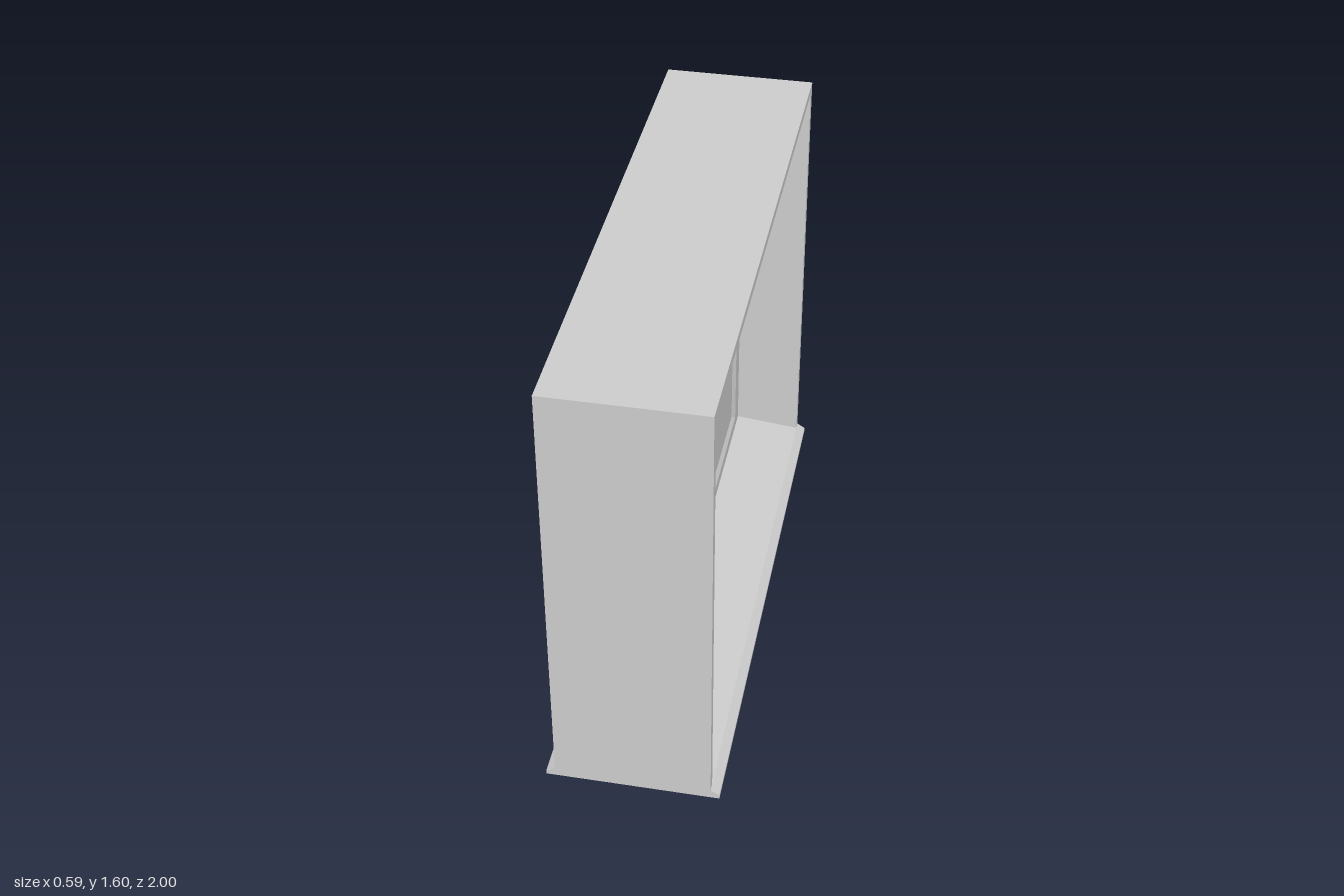
import * as THREE from 'three';

const FACE = 0.022;   // half thickness of the sash frame
const GLASS = 0.01;   // half thickness of the recessed panes
const material = new THREE.MeshStandardMaterial({ color: 0xcccccc, flatShading: true });

function part(name, geometry, x = 0, y = 0, z = 0) {
  const mesh = new THREE.Mesh(geometry, material);
  mesh.name = name;
  mesh.position.set(x, y, z);
  return mesh;
}

function rectPath(z0, z1, y0, y1, Type = THREE.Path) {
  return new Type([[z0, y0], [z1, y0], [z1, y1], [z0, y1]].map(p => new THREE.Vector2(...p)));
}

// Recessed pane facing +x: sloping border around a flat centre
function dishedPane(z0, z1, y0, y1, border) {
  const loop = (b, x) => [
    [x, y0 + b, z1 - b], [x, y0 + b, z0 + b], [x, y1 - b, z0 + b], [x, y1 - b, z1 - b],
  ];
  const points = [...loop(0, FACE), ...loop(border, GLASS)];
  const index = [4, 5, 6, 4, 6, 7];
  for (let i = 0; i < 4; i++) {
    const j = (i + 1) % 4;
    index.push(i, j, j + 4, i, j + 4, i + 4);
  }
  const geometry = new THREE.BufferGeometry();
  geometry.setAttribute('position', new THREE.Float32BufferAttribute(points.flat(), 3));
  geometry.setIndex(index);
  const flat = geometry.toNonIndexed();
  flat.computeVertexNormals();
  return flat;
}

export function createModel() {
  const model = new THREE.Group();
  model.name = 'slidingWindow';

  // Outer casing
  model.add(part('head', new THREE.BoxGeometry(0.53, 0.03, 2), 0, 1.585, 0));
  for (const s of [1, -1]) {
    model.add(part(s > 0 ? 'frontJamb' : 'backJamb',
      new THREE.BoxGeometry(0.53, 1.54, 0.03), 0, 0.8, s * 0.985));
  }

  // Sill, sloping away from the sash to a drip lip on both sides
  const half = [[0.295, 0], [0.295, 0.015], [0.265, 0.035], [FACE, 0.06]];
  const profile = [...half, ...half.map(([x, y]) => [-x, y]).reverse()];
  const sill = new THREE.ExtrudeGeometry(
    new THREE.Shape(profile.map(p => new THREE.Vector2(...p))), { depth: 2, bevelEnabled: false });
  model.add(part('sill', sill.translate(0, 0, -1)));

  // Sash frame with the middle opening and two pane openings
  const pane = [0.2, 0.9, 0.105, 1.5];
  const shape = rectPath(-0.97, 0.97, 0.055, 1.57, THREE.Shape);
  shape.holes.push(
    rectPath(-0.175, 0.175, 0.075, 1.535),
    rectPath(...pane),
    rectPath(-pane[1], -pane[0], pane[2], pane[3]));
  const sash = new THREE.ExtrudeGeometry(shape, { depth: 2 * FACE, bevelEnabled: false });
  sash.translate(0, 0, -FACE).rotateY(-Math.PI / 2);
  model.add(part('sashFrame', sash));

  // Panes on both faces
  for (const turn of [0, Math.PI]) {
    const panes = new THREE.Group();
    panes.name = turn ? 'innerPanes' : 'outerPanes';
    panes.add(part('frontPane', dishedPane(...pane, 0.02)));
    panes.add(part('backPane', dishedPane(-pane[1], -pane[0], pane[2], pane[3], 0.02)));
    panes.rotation.y = turn;
    model.add(panes);
  }

  // Small catches on the edge of one stile
  for (const y of [0.17, 1.46]) {
    model.add(part('catch', new THREE.BoxGeometry(0.02, 0.08, 0.015), -FACE - 0.008, y, 0.185));
  }
  return model;
}
